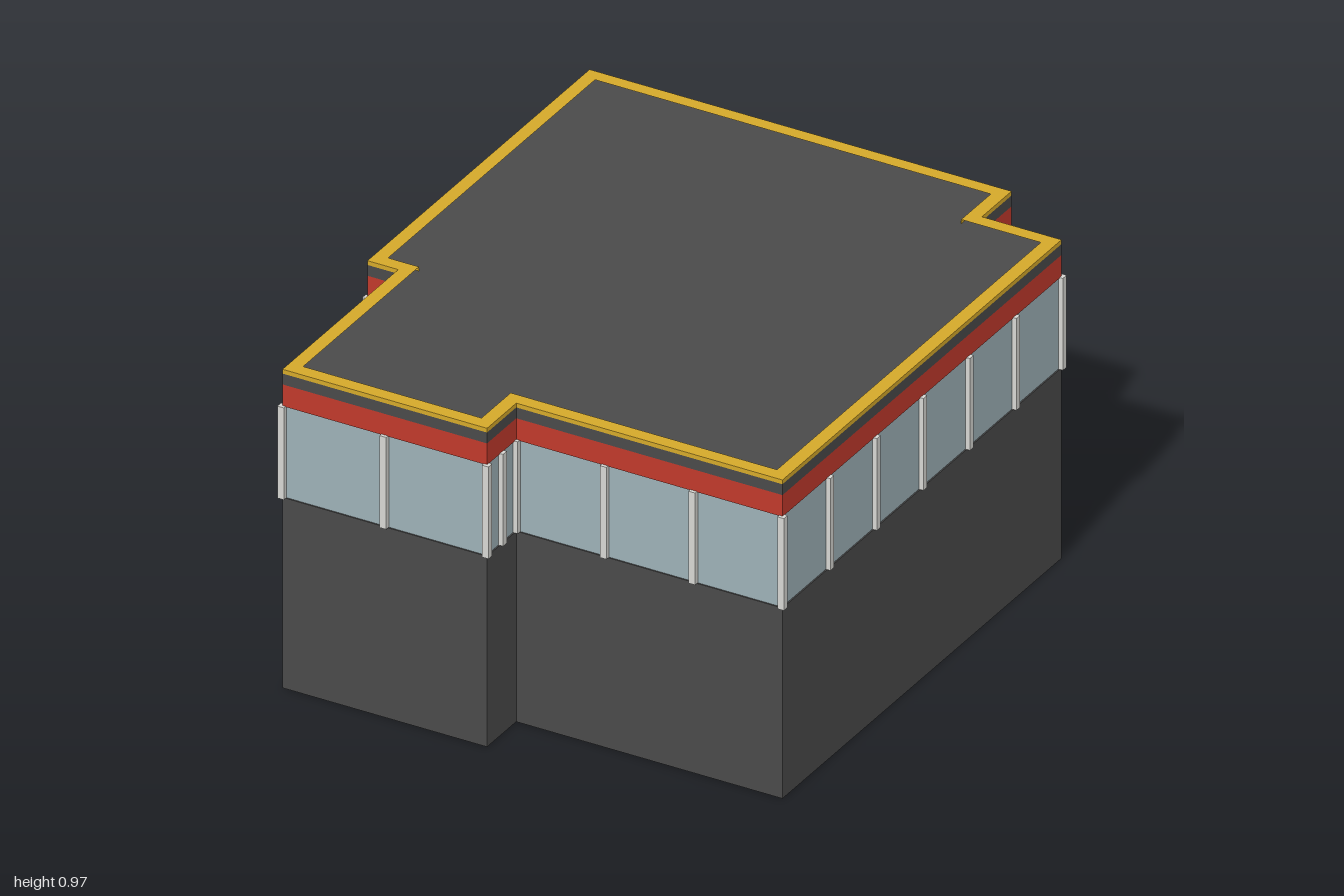
import * as THREE from 'three';

const mat = (name, color) => Object.assign(new THREE.MeshStandardMaterial({ color }), { name });

// Footprint corners (x, z) in the building's own axes, clockwise from the back left
const FOOTPRINT = [
  [-0.684, -0.89], [0.603, -0.89], [0.603, -0.734], [0.846, -0.734], [0.846, 0.736],
  [0.034, 0.736], [0.034, 0.89], [-0.59, 0.89], [-0.59, 0.28], [-0.684, 0.28],
];

// Move every wall of the right-angled outline inward by d
function inset(points, d) {
  const n = points.length;
  const inward = (p, q) => [-Math.sign(q[1] - p[1]), Math.sign(q[0] - p[0])];
  return points.map((p, i) => {
    const a = inward(points[(i + n - 1) % n], p);
    const b = inward(p, points[(i + 1) % n]);
    return [p[0] + d * (a[0] + b[0]), p[1] + d * (a[1] + b[1])];
  });
}

const toVectors = (points) => points.map(([x, z]) => new THREE.Vector2(x, -z));

export function createModel() {
  const wall = mat('charcoal wall', 0x4a4a4a);
  const glass = mat('pale glass', 0x9db0b6);
  const darkGlass = mat('dark glass', 0x6f8a92);
  const red = mat('red trim', 0xc0392b);
  const gold = mat('gold coping', 0xd4a82a);
  const tan = mat('tan canopy', 0xb8977a);
  const metal = mat('light metal', 0xd6d6d2);

  const building = new THREE.Group();
  building.name = 'building';
  building.rotation.y = 0.194;

  // One storey or band, extruded from the footprint
  function layer(name, material, y0, y1, offset = 0, holeInset = 0) {
    const shape = new THREE.Shape(toVectors(inset(FOOTPRINT, offset)));
    if (holeInset) shape.holes.push(new THREE.Path(toVectors(inset(FOOTPRINT, holeInset))));
    const geometry = new THREE.ExtrudeGeometry(shape, { depth: y1 - y0, bevelEnabled: false });
    geometry.rotateX(-Math.PI / 2);
    const mesh = new THREE.Mesh(geometry, material);
    mesh.name = name;
    mesh.position.y = y0;
    building.add(mesh);
  }

  // Box given by its limits on each axis
  function block(name, material, [x0, x1], [y0, y1], [z0, z1], parent = building) {
    const mesh = new THREE.Mesh(new THREE.BoxGeometry(x1 - x0, y1 - y0, z1 - z0), material);
    mesh.name = name;
    mesh.position.set((x0 + x1) / 2, (y0 + y1) / 2, (z0 + z1) / 2);
    parent.add(mesh);
  }

  layer('groundFloor', wall, 0, 0.58);
  layer('windowBand', glass, 0.58, 0.858, 0.004);
  layer('redBand', red, 0.858, 0.924);
  layer('roof', wall, 0.924, 0.957);
  layer('parapetCoping', gold, 0.957, 0.97, 0, 0.04);

  // Window posts: one at each corner and evenly along each wall
  const posts = new THREE.Group();
  posts.name = 'windowPosts';
  building.add(posts);
  const r = 0.01;
  FOOTPRINT.forEach((p, i) => {
    const q = FOOTPRINT[(i + 1) % FOOTPRINT.length];
    const length = Math.hypot(q[0] - p[0], q[1] - p[1]);
    const bays = length < 0.12 ? 1 : Math.max(2, Math.floor(length / 0.24));
    for (let k = 0; k < bays; k++) {
      const x = p[0] + (q[0] - p[0]) * k / bays;
      const z = p[1] + (q[1] - p[1]) * k / bays;
      block('windowPost', metal, [x - r, x + r], [0.58, 0.86], [z - r, z + r], posts);
    }
  });

  // Side entrance: long canopy over a wide window
  block('sideCanopy', tan, [-0.829, -0.684], [0.555, 0.582], [-0.89, 0.28]);
  block('sideWindow', darkGlass, [-0.693, -0.684], [0.25, 0.53], [-0.68, 0.07]);

  // Back hatch: small awning over a small window
  block('backAwning', red, [-0.232, 0.151], [0.455, 0.485], [-0.99, -0.89]);
  block('backWindow', darkGlass, [-0.16, 0.08], [0.33, 0.455], [-0.899, -0.89]);

  const model = new THREE.Group();
  model.name = 'model';
  model.add(building);
  return model;
}
